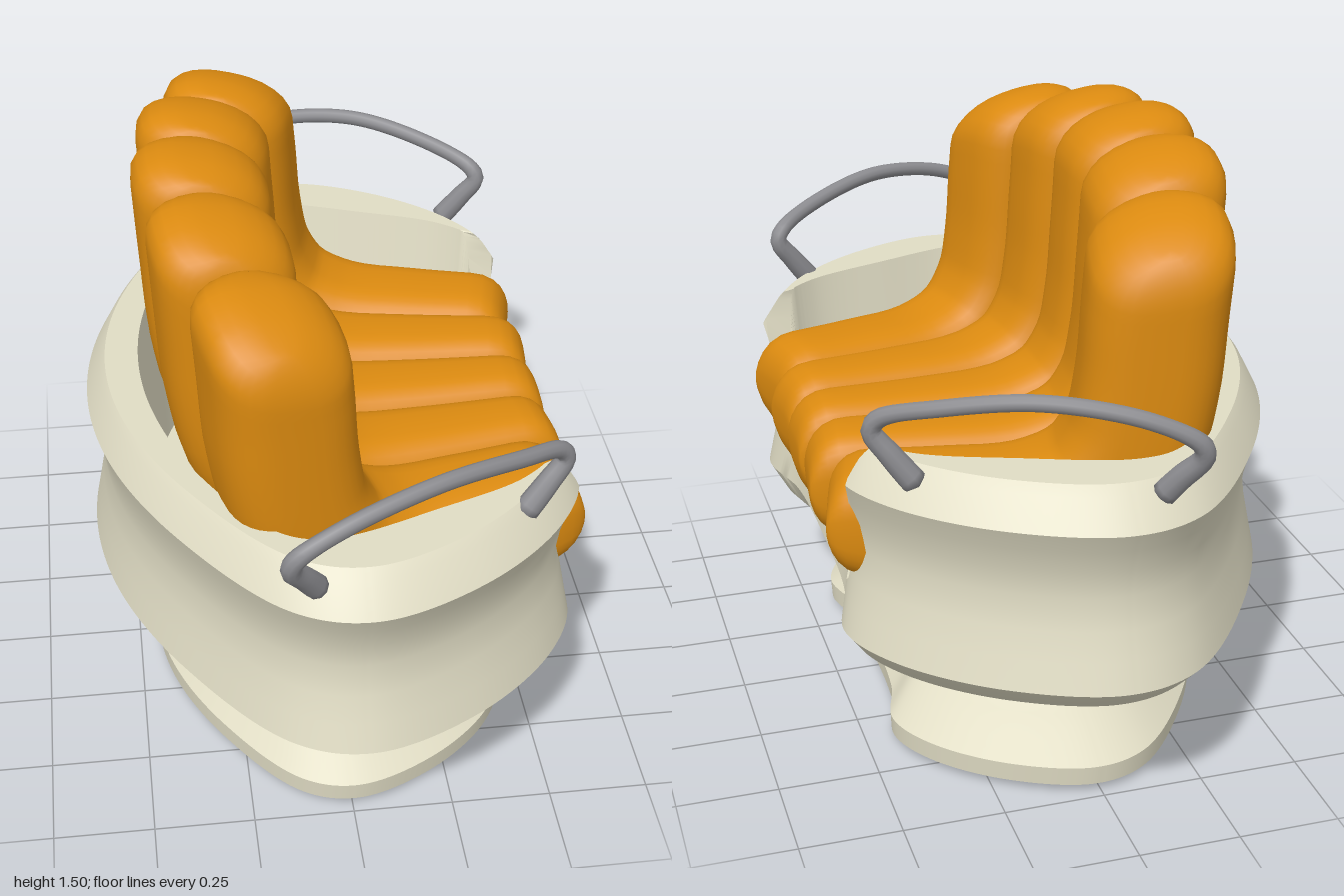
import * as THREE from 'three';
import { mergeVertices, toCreasedNormals } from 'three/addons/utils/BufferGeometryUtils.js';

const V = (x, y, z) => new THREE.Vector3(x, y, z);
const mat = (color) => new THREE.MeshStandardMaterial({ color });

// Skin a list of closed rings (each an array of Vector3)
function loft(rings, crease) {
  const n = rings[0].length, pos = [], idx = [];
  rings.forEach((r) => r.forEach((p) => pos.push(p.x, p.y, p.z)));
  for (let k = 0; k < rings.length - 1; k++)
    for (let i = 0; i < n; i++) {
      const j = (i + 1) % n, a = k * n + i, b = k * n + j, c = b + n, d = a + n;
      idx.push(a, b, c, a, c, d);
    }
  let g = new THREE.BufferGeometry();
  g.setAttribute('position', new THREE.Float32BufferAttribute(pos, 3));
  g.setIndex(idx);
  if (crease) return toCreasedNormals(g, crease);
  g = mergeVertices(g, 1e-5);
  g.computeVertexNormals();
  return g;
}

// Plan outline from half the control points (back centre to front centre)
function outline(half, per = 12) {
  const pts = half.map(([x, z]) => V(x, 0, z));
  for (let i = half.length - 2; i > 0; i--) pts.push(V(half[i][0], 0, -half[i][1]));
  const curve = new THREE.CatmullRomCurve3(pts, true), n = pts.length * per;
  return Array.from({ length: n }, (_, i) => curve.getPoint(i / n));
}

// Piecewise linear lookup in [[key, value], ...]
function lerpTable(table, t) {
  if (t <= table[0][0]) return table[0][1];
  for (let i = 1; i < table.length; i++) {
    const [a, va] = table[i - 1], [b, vb] = table[i];
    if (t <= b) return va + ((vb - va) * (t - a)) / (b - a);
  }
  return table[table.length - 1][1];
}

const OUTER = [[-0.595, 0], [-0.55, 0.3], [-0.4, 0.62], [-0.16, 0.91], [0.02, 0.96],
  [0.28, 0.86], [0.49, 0.675], [0.572, 0.5], [0.53, 0.3], [0.52, 0]];
const INNER = [[-0.46, 0], [-0.43, 0.25], [-0.33, 0.52], [-0.17, 0.74], [-0.06, 0.77],
  [0.2, 0.69], [0.42, 0.595], [0.5, 0.5], [0.46, 0.3], [0.45, 0]];

// Pedestal: outline scaled along a waisted profile
function pedestal() {
  const neck = new THREE.SplineCurve([[0.76, 0.07], [0.65, 0.13], [0.575, 0.17], [0.55, 0.205],
    [0.57, 0.245], [0.63, 0.285], [0.72, 0.317], [0.82, 0.335]].map(([s, y]) => new THREE.Vector2(s, y)));
  const prof = [[0, 0], [0.71, 0], [0.755, 0.02], ...neck.getPoints(22).map((p) => [p.x, p.y])];
  const o = outline(OUTER);
  return loft(prof.map(([s, y]) => o.map((p) => V(p.x * s, y, p.z * s))), 0.55);
}

// Shell: waisted wall, rim cut low across the front, hollow inside
function shell() {
  const per = 16, o = outline(OUTER, per), inn = outline(INNER, per);
  const wall = [[0.41, 1], [0.48, 0.977], [0.55, 0.955], [0.63, 0.94], [0.7, 0.953],
    [0.76, 0.975], [0.81, 1], [0.88, 0.94], [0.9, 0.915]];
  const cutAt = [[6.55, 0.9], [6.7, 0.87], [6.85, 0.81], [6.98, 0.6], [7.12, 0.53], [7.4, 0.5]];
  const cut = o.map((_, i) => lerpTable(cutAt, Math.min(i, o.length - i) / per));
  const rings = [[0, 0.33], [0.76, 0.325], [0.89, 0.325], [0.93, 0.345]]
    .map(([s, y]) => o.map((p) => V(p.x * s, y, p.z * s)));
  for (const [h] of wall)
    rings.push(o.map((p, i) => {
      const y = Math.min(h, cut[i]), s = lerpTable(wall, y);
      return V(p.x * s, y, p.z * s);
    }));
  rings.push(inn.map((p, i) => V(p.x, cut[i], p.z)));
  rings.push(inn.map((p) => V(p.x * 0.95, 0.45, p.z * 0.86)));
  rings.push(inn.map(() => V(0, 0.45, 0)));
  return loft(rings, 0.55);
}

// One padded channel: runs down the back, bends and fans forward over the seat
function channel({ back, front, top, w0, w1, slope }, side) {
  const start = V(back[0], 0, back[1] * side);
  const dir = V(front[0], 0, front[1] * side).sub(start);
  const F = dir.length();
  dir.normalize();
  const lat = V(-dir.z, 0, dir.x);
  const path = new THREE.CatmullRomCurve3([[0, top], [0.015, 1.2], [0.03, 1.0], [0.065, 0.85],
    [0.15, 0.735], [0.28, 0.68], [0.5, 0.67], [F, 0.67]]
    .map(([d, y]) => start.clone().addScaledVector(dir, d).setY(y)));
  const len = path.getLength(), R = 0.11;
  const ends = [0, 0.001, 0.004, 0.012, 0.026, 0.046, 0.075];
  const stops = [...ends];
  for (let i = 0; i <= 26; i++) stops.push(R + ((len - 2 * R) * i) / 26);
  stops.push(...ends.map((e) => len - e).reverse());
  const n = 36, pw = (v) => Math.sign(v) * Math.abs(v) ** 0.68;
  const rings = stops.map((s) => {
    const u = s / len, p = path.getPointAt(u), T = path.getTangentAt(u);
    const N = lat.clone().cross(T).normalize();
    const e = Math.min(s, len - s, R) / R;
    const cap = (1 - (1 - e) ** 2.4) ** (1 / 2.4);
    const f = p.clone().setY(0).distanceTo(start) / F;
    const w = THREE.MathUtils.lerp(w0, w1, f) * (0.72 + 0.28 * cap);
    const th = THREE.MathUtils.lerp(0.168, 0.14, Math.min(1, f * 2)) * cap;
    const tilt = THREE.MathUtils.smoothstep(p.y, 1.05, 1.4);
    return Array.from({ length: n }, (_, i) => {
      const a = (i / n) * Math.PI * 2, x = pw(Math.cos(a)) * th, z = pw(Math.sin(a)) * w;
      const q = p.clone().addScaledVector(N, x).addScaledVector(lat, z);
      q.y -= tilt * (0.22 * x + slope * side * z + 1.8 * z * z);
      return q;
    });
  });
  return loft(rings);
}

// Arched grab handle, thicker towards feet that tuck inward
function handle(side) {
  const pts = [[-0.085, 0.86, 0.89], [-0.12, 0.92, 0.925], [-0.155, 0.98, 0.965], [-0.145, 1.015, 0.975],
    [-0.03, 1.075, 0.95], [0.18, 1.108, 0.87], [0.38, 1.075, 0.76], [0.495, 1.03, 0.675],
    [0.51, 1.0, 0.665], [0.47, 0.94, 0.675], [0.41, 0.86, 0.69]];
  const curve = new THREE.CatmullRomCurve3(
    pts.map(([x, y, z]) => V(x - 0.02 * side, y, z * side)), false, 'centripetal');
  const n = 72, m = 10, frames = curve.computeFrenetFrames(n);
  const rings = Array.from({ length: n + 1 }, (_, k) => {
    const t = Math.abs((2 * k) / n - 1), c = curve.getPointAt(k / n);
    const r = k % n === 0 ? 0 : 0.02 + 0.01 * THREE.MathUtils.smoothstep(t, 0.5, 1);
    return Array.from({ length: m }, (_, i) => {
      const a = (i / m) * Math.PI * 2;
      return c.clone().addScaledVector(frames.normals[k], Math.cos(a) * r)
        .addScaledVector(frames.binormals[k], Math.sin(a) * r);
    });
  });
  return loft(rings);
}

export function createModel() {
  const group = new THREE.Group();
  const cream = mat(0xe0dcc4), orange = mat(0xdb8a10), grey = mat(0x8c8c90);
  const add = (name, geo, m) => {
    const mesh = new THREE.Mesh(geo, m);
    mesh.name = name;
    group.add(mesh);
  };
  cream.side = THREE.DoubleSide;
  add('pedestal', pedestal(), cream);
  add('shell', shell(), cream);

  // Five cushion channels, the centre one plus mirrored pairs
  const centre = { back: [-0.29, 0], front: [0.59, 0], top: 1.49, w0: 0.152, w1: 0.1, slope: 0 };
  const middle = { back: [-0.265, 0.28], front: [0.59, 0.18], top: 1.47, w0: 0.157, w1: 0.105, slope: 0.15 };
  const outer = { back: [-0.18, 0.565], front: [0.58, 0.38], top: 1.41, w0: 0.172, w1: 0.13, slope: 0.25 };
  add('centreCushion', channel(centre, 1), orange);
  for (const side of [1, -1]) {
    const tag = side > 0 ? 'Left' : 'Right';
    add('middleCushion' + tag, channel(middle, side), orange);
    add('outerCushion' + tag, channel(outer, side), orange);
    add('grabHandle' + tag, handle(side), grey);
  }
  return group;
}
